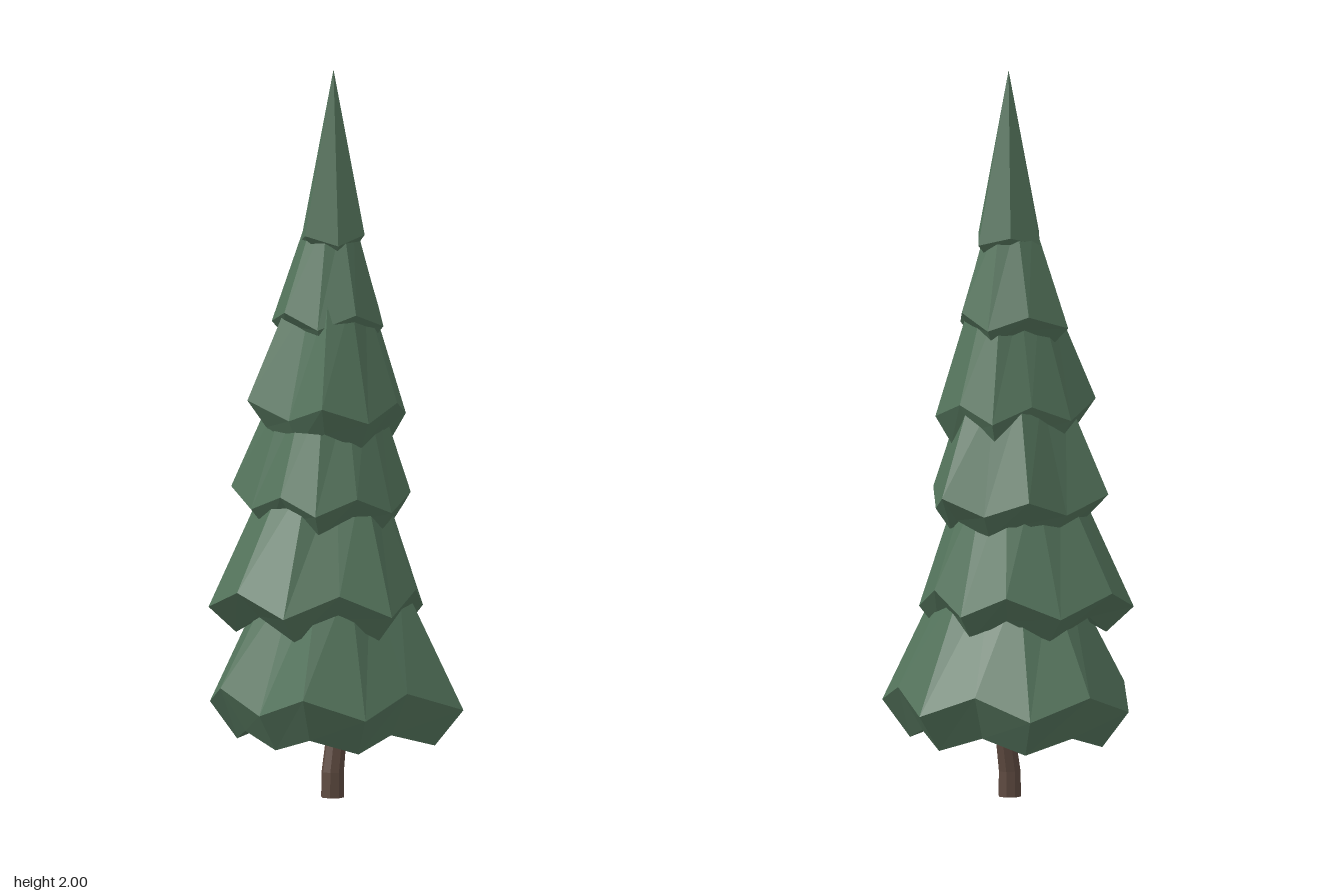
import * as THREE from 'three';

const AXIS_X = -0.01, AXIS_Z = -0.035; // axis of the foliage
const SKIRT_Y = 0.15; // lowest level of the foliage

// Skin between rings of [x, y, z] points, bottom to top; rings run from +x towards +z.
function loft(rings) {
  const pos = [];
  const n = rings[0].length;
  for (let r = 0; r < rings.length - 1; r++) {
    for (let i = 0; i < n; i++) {
      const j = (i + 1) % n;
      const a = rings[r][i], b = rings[r][j], c = rings[r + 1][i], d = rings[r + 1][j];
      pos.push(...a, ...c, ...b, ...b, ...c, ...d);
    }
  }
  const geo = new THREE.BufferGeometry();
  geo.setAttribute('position', new THREE.Float32BufferAttribute(pos, 3));
  geo.computeVertexNormals();
  return geo;
}

// Ring of evenly spaced corners; radius and height may vary from corner to corner
function ring(sides, x, z, start, radius, height) {
  return Array.from({ length: sides }, (_, i) => {
    const a = THREE.MathUtils.degToRad(start) + (i / sides) * Math.PI * 2;
    return [x + radius(i) * Math.cos(a), height(i), z + radius(i) * Math.sin(a)];
  });
}

// Jagged skirt: hollow underside, inset hem, rim at two alternating heights, tapering top
function tierGeometry(start, radii, rimY, drop, top, topScale) {
  const hem = i => Math.max(SKIRT_Y, rimY[i % 2] - drop);
  const layer = (scale, height) =>
    ring(radii.length, AXIS_X, AXIS_Z, start, i => radii[i] * scale, height);
  return loft([
    layer(0, () => rimY[0] + 0.02),
    layer(0.78, hem),
    layer(1, i => rimY[i % 2]),
    layer(topScale, () => top),
    layer(0, () => top),
  ]);
}

// Slightly bent trunk
function trunkGeometry() {
  const layer = (x, y, z, r) => ring(8, x, z, 0, () => r, () => y);
  return loft([
    layer(-0.01, 0, -0.024, 0),
    layer(-0.01, 0, -0.024, 0.032),
    layer(-0.01, 0.07, -0.025, 0.031),
    layer(-0.004, 0.15, -0.037, 0.029),
    layer(0, 0.32, -0.04, 0.027),
    layer(0, 0.32, -0.04, 0),
  ]);
}

export function createModel() {
  const needleGreen = new THREE.MeshStandardMaterial({ color: 0x54745c, flatShading: true });
  needleGreen.name = 'needleGreen';
  const barkBrown = new THREE.MeshStandardMaterial({ color: 0x5e4a40, flatShading: true });
  barkBrown.name = 'barkBrown';

  const tree = new THREE.Group();
  tree.name = 'pineTree';

  function add(name, geometry, material) {
    const mesh = new THREE.Mesh(geometry, material);
    mesh.name = name;
    tree.add(mesh);
  }

  add('trunk', trunkGeometry(), barkBrown);

  // Foliage from the ground up: start angle, corner radii, rim heights, hem drop, top, taper
  add('bottomTier', tierGeometry(2,
    [0.365, 0.28, 0.32, 0.34, 0.29, 0.32, 0.347, 0.342, 0.323, 0.275, 0.319, 0.306],
    [0.25, 0.31], 0.12, 0.62, 0.5), needleGreen);
  add('secondTier', tierGeometry(14,
    [0.25, 0.286, 0.25, 0.31, 0.316, 0.341, 0.331, 0.298, 0.27, 0.25, 0.23, 0.244],
    [0.585, 0.525], 0.07, 0.9, 0.5), needleGreen);
  add('thirdTier', tierGeometry(0,
    [0.215, 0.214, 0.21, 0.235, 0.216, 0.236, 0.285, 0.235, 0.258, 0.222, 0.246, 0.203],
    [0.845, 0.8], 0.065, 1.12, 0.57), needleGreen);
  add('fourthTier', tierGeometry(14,
    [0.193, 0.205, 0.22, 0.175, 0.238, 0.2, 0.166, 0.19, 0.175, 0.2],
    [1.095, 1.05], 0.075, 1.38, 0.5), needleGreen);
  add('fifthTier', tierGeometry(6,
    [0.143, 0.136, 0.14, 0.15, 0.177, 0.15, 0.143, 0.137],
    [1.3, 1.34], 0.04, 1.6, 0.4), needleGreen);
  add('treeTip', tierGeometry(9,
    [0.091, 0.085, 0.099, 0.095, 0.09, 0.099],
    [1.55, 1.525], 0.025, 2, 0), needleGreen);

  return tree;
}
